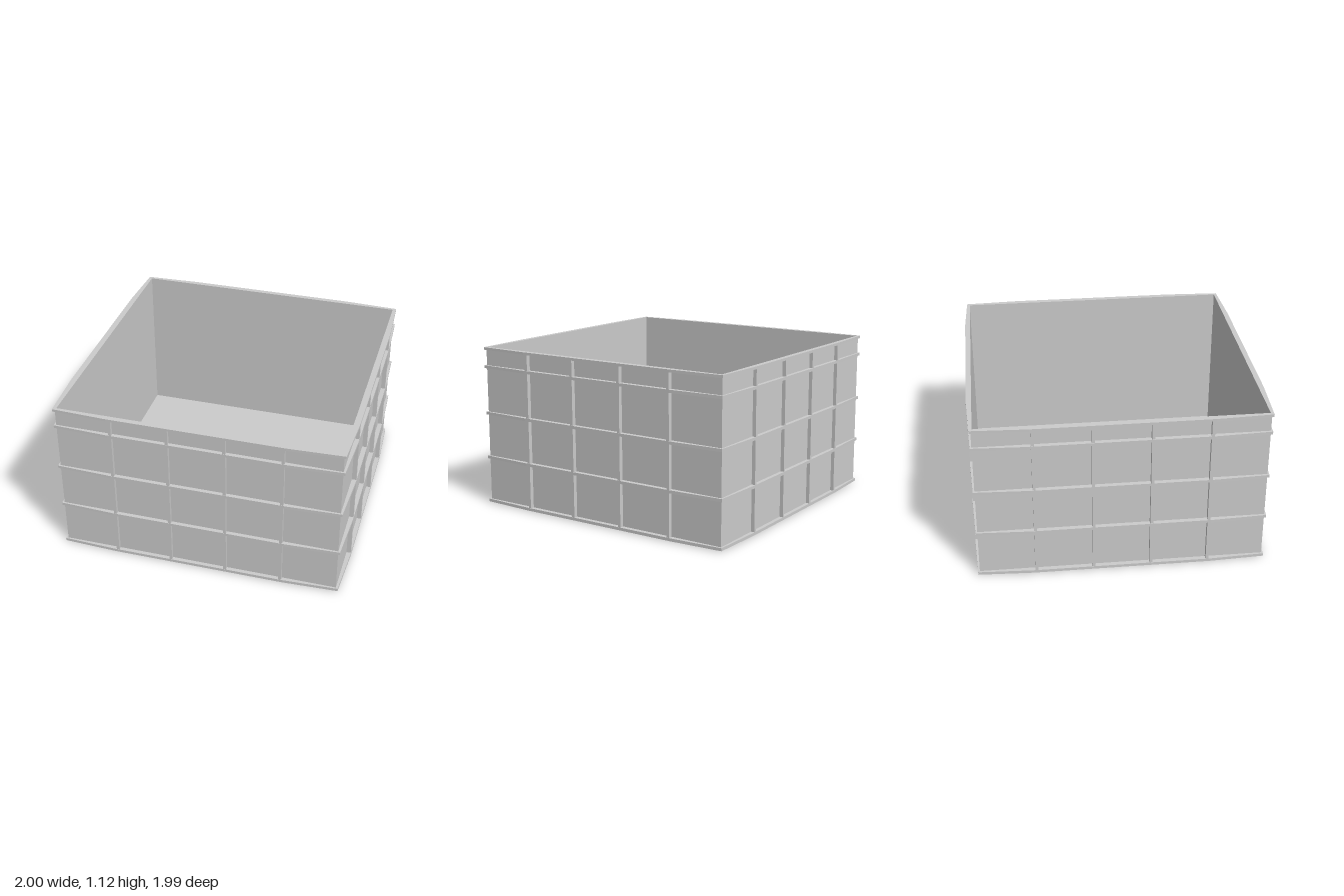
import * as THREE from 'three';

const HEIGHT = 1.125;
const INNER = 0.957;      // half width of the opening
const WALL = 0.966;       // half width of the wall's outer face
const MID = { x: 0.998, z: 0.993 };      // rib reach along the middle of each side
const CORNER = { x: 0.98, z: 0.977 };    // rib reach at the corners
const BEND = 0.6;         // where the bowed ribs start to taper

const material = new THREE.MeshStandardMaterial({ color: 0xcccccc });

const square = (h) => [[h, h], [-h, h], [-h, -h], [h, -h]];

// Outline with slightly bowed sides
function bowed(inset = 0) {
  const mx = MID.x - inset, mz = MID.z - inset, cx = CORNER.x - inset, cz = CORNER.z - inset;
  return [
    [mx, -BEND], [mx, BEND], [cx, cz], [BEND, mz], [-BEND, mz], [-cx, cz],
    [-mx, BEND], [-mx, -BEND], [-cx, -cz], [-BEND, -mz], [BEND, -mz], [cx, -cz],
  ];
}

// Horizontal slab or ring from y0 to y1
function slab(name, outline, hole, y0, y1) {
  const toPoints = (list) => list.map(([x, y]) => new THREE.Vector2(x, y));
  const shape = new THREE.Shape(toPoints(outline));
  if (hole) shape.holes.push(new THREE.Path(toPoints(hole)));
  const geometry = new THREE.ExtrudeGeometry(shape, { depth: y1 - y0, bevelEnabled: false });
  geometry.rotateX(-Math.PI / 2);
  geometry.translate(0, y0, 0);
  const mesh = new THREE.Mesh(geometry, material);
  mesh.name = name;
  return mesh;
}

export function createModel() {
  const crate = new THREE.Group();
  crate.name = 'ribbedCrate';

  // Thin walls and floor
  crate.add(slab('walls', square(WALL), square(INNER), 0.01, HEIGHT - 0.002));
  crate.add(slab('floor', bowed(), null, 0.005, 0.025));
  crate.add(slab('floorUnderside', bowed(0.09), null, 0, 0.006));

  // Horizontal ribs, the top one forming the rim
  [0.335, 0.655, 0.987].forEach((y) => {
    crate.add(slab('horizontalRib', bowed(), square(WALL - 0.003), y - 0.01, y + 0.01));
  });
  crate.add(slab('rim', bowed(), square(INNER), HEIGHT - 0.018, HEIGHT));

  // Vertical ribs, four on each side
  const y0 = 0.015, y1 = HEIGHT - 0.01;
  for (let side = 0; side < 4; side++) {
    const group = new THREE.Group();
    group.name = 'verticalRibs';
    group.rotation.y = side * Math.PI / 2;
    const reach = (side % 2 ? MID.x : MID.z) - 0.002;
    const depth = reach - WALL + 0.004;
    for (const x of [-0.582, -0.194, 0.194, 0.582]) {
      const rib = new THREE.Mesh(new THREE.BoxGeometry(0.02, y1 - y0, depth), material);
      rib.name = 'verticalRib';
      rib.position.set(x, (y0 + y1) / 2, reach - depth / 2);
      group.add(rib);
    }
    crate.add(group);
  }
  return crate;
}
